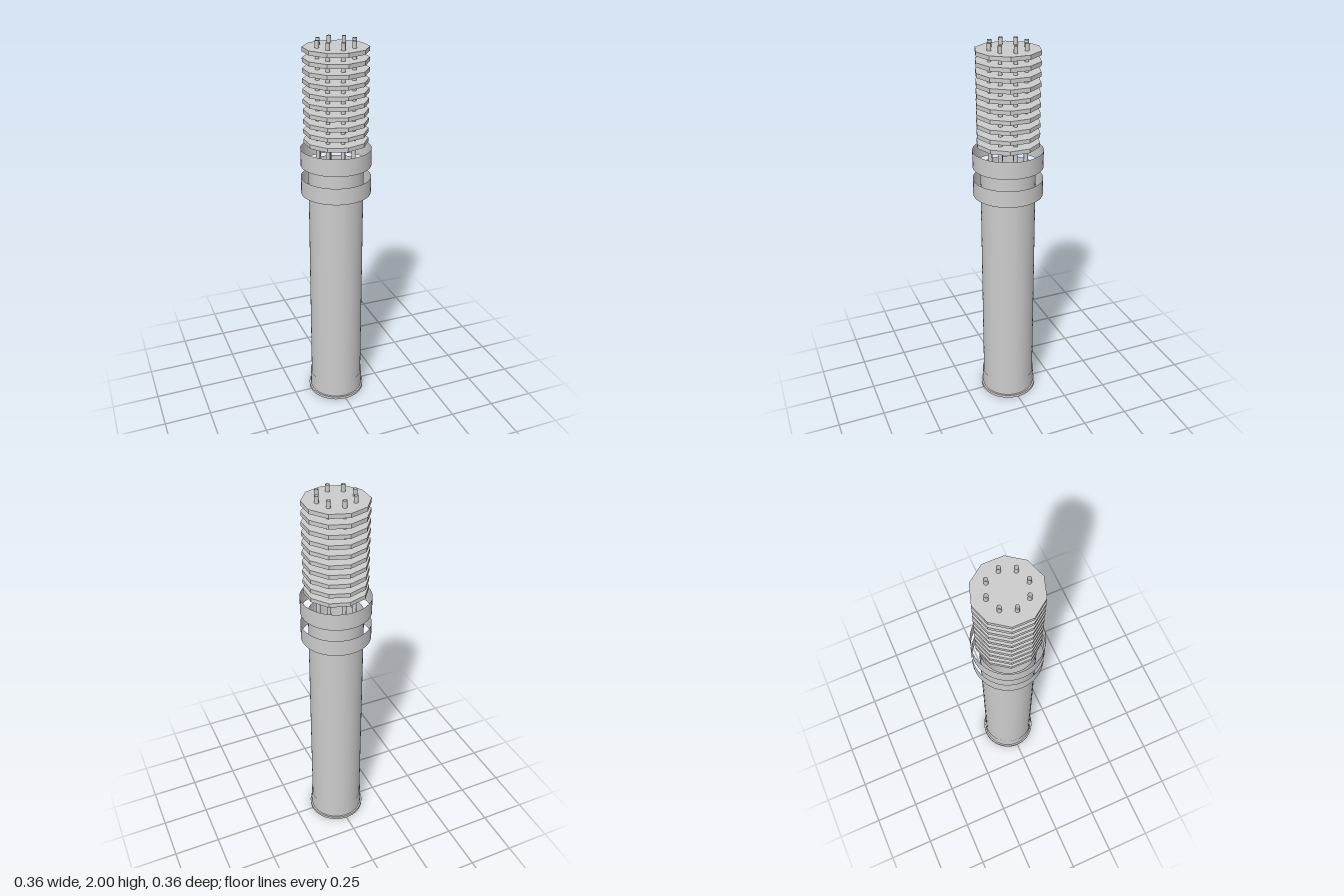
import * as THREE from 'three';

const material = new THREE.MeshStandardMaterial({ color: 0xcccccc, side: THREE.DoubleSide });
const flatMaterial = new THREE.MeshStandardMaterial({ color: 0xcccccc, flatShading: true });

// Thin open tube between two heights
function tube(name, radius, bottom, top, sides = 48) {
  const geometry = new THREE.CylinderGeometry(radius, radius, top - bottom, sides, 1, true);
  const mesh = new THREE.Mesh(geometry, material);
  mesh.name = name;
  mesh.position.y = (bottom + top) / 2;
  return mesh;
}

export function createModel() {
  const model = new THREE.Group();
  model.name = 'finnedHandle';

  // Hollow grip with an open lower end
  model.add(tube('grip', 0.141, 0.01, 1.37));

  // Collar and projecting lip around the lower end
  model.add(tube('baseCollar', 0.146, 0.01, 0.11));
  const lipProfile = [[0.141, 0], [0.155, 0], [0.155, 0.016], [0.141, 0.016], [0.141, 0]];
  const lipGeometry = new THREE.LatheGeometry(
    lipProfile.map(([r, y]) => new THREE.Vector2(r, y)), 48).toNonIndexed();
  lipGeometry.computeVertexNormals();
  const lip = new THREE.Mesh(lipGeometry, material);
  lip.name = 'baseLip';
  model.add(lip);

  // Two loose bands standing clear of the grip
  model.add(tube('lowerBand', 0.18, 1.222, 1.31));
  model.add(tube('upperBand', 0.18, 1.372, 1.462));

  // Ring of rods carrying the fins
  const rods = new THREE.Group();
  rods.name = 'rods';
  for (let i = 0; i < 8; i++) {
    const angle = (i / 8) * Math.PI * 2;
    const rod = tube('rod', 0.0105, 1.365, 2, 10);
    rod.position.x = 0.096 * Math.sin(angle);
    rod.position.z = 0.096 * Math.cos(angle);
    rods.add(rod);
  }
  model.add(rods);

  // Stack of ten-sided fins
  const fins = new THREE.Group();
  fins.name = 'fins';
  const finGeometry = new THREE.CylinderGeometry(0.163, 0.163, 0.021, 10);
  for (let i = 0; i < 10; i++) {
    const fin = new THREE.Mesh(finGeometry, flatMaterial);
    fin.name = 'fin';
    fin.position.y = 1.5 + i * 0.0505;
    fins.add(fin);
  }
  model.add(fins);

  return model;
}
